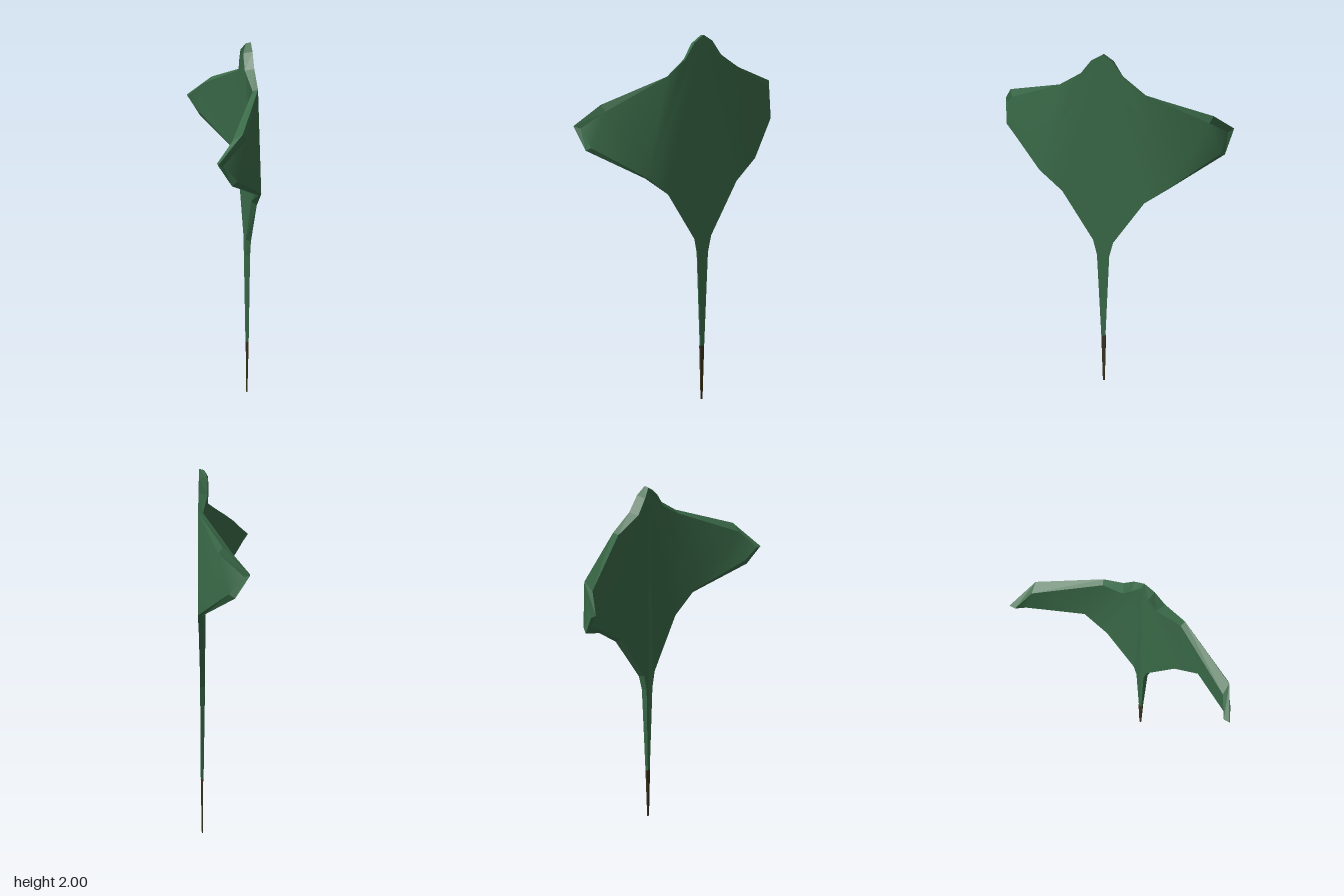
import * as THREE from 'three';

// Half outline from head to tail, each corner as [x, y, z]:
// outer skin, rim ridge, inner skin
const X = 0.125;
const corner = (y, z, inner) => ({ outer: [X, y, z], ridge: [X, y, z], inner });
const OUTLINE = [
  corner(2, 0, [0.1, 1.995, 0]),
  corner(1.965, 0.055, [0.08, 1.955, 0.043]),
  corner(1.89, 0.11, [0.08, 1.88, 0.09]),
  corner(1.815, 0.22, [0.1, 1.805, 0.21]),
  { outer: [0.02, 1.658, 0.515], ridge: [0.0, 1.69, 0.53], inner: [-0.05, 1.655, 0.525] },
  { outer: [-0.1, 1.56, 0.588], ridge: [-0.13, 1.57, 0.612], inner: [-0.13, 1.57, 0.58] },
  { outer: [-0.03, 1.472, 0.572], ridge: [-0.06, 1.455, 0.586], inner: [-0.07, 1.485, 0.56] },
  { outer: [X, 1.315, 0.342], ridge: [0.11, 1.31, 0.345], inner: [0.1, 1.325, 0.33] },
  corner(1.21, 0.22, [0.1, 1.225, 0.2]),
  corner(0.94, 0.055, [0.1, 0.945, 0.04]),
  corner(0.85, 0.034, [0.1, 0.85, 0.022]),
  corner(0.32, 0.012, [0.11, 0.32, 0.008]),
  corner(0.32, 0, [0.11, 0.32, 0]),
];
const BODY = [0, 1, 2, 3, 7, 8, 9, 10, 11, 12];
const WING = [[3, 4, 7], [4, 6, 7], [4, 5, 6]];

// Triangles of one half, wound to face +x
function halfFaces() {
  const flat = BODY.map((i) => new THREE.Vector2(-OUTLINE[i].ridge[2], OUTLINE[i].ridge[1]));
  const body = THREE.ShapeUtils.triangulateShape(flat, []).map(([a, b, c]) => {
    const ccw = THREE.ShapeUtils.area([flat[a], flat[b], flat[c]]) > 0;
    return (ccw ? [a, b, c] : [a, c, b]).map((k) => BODY[k]);
  });
  return [...body, ...WING];
}

function buildGeometry(points, triangles) {
  const g = new THREE.BufferGeometry();
  g.setAttribute('position', new THREE.Float32BufferAttribute(points.flat(), 3));
  g.setIndex(triangles.flat());
  return g;
}

// Points of both halves: the mirrored half follows the first
function mirrored(points) {
  return [...points, ...points.map(([x, y, z]) => [x, y, -z])];
}
function mirroredTriangles(tris, count) {
  return [...tris, ...tris.map(([a, b, c]) => [a + count, c + count, b + count])];
}

// Smooth skin on the outer or inner side
function skin(layer) {
  const points = OUTLINE.map((o) => o[layer]);
  let tris = halfFaces();
  if (layer === 'inner') tris = tris.map(([a, b, c]) => [a, c, b]);
  const g = buildGeometry(mirrored(points), mirroredTriangles(tris, points.length));
  g.computeVertexNormals();
  return g;
}

// Faceted bevel joining the two skins
function rim() {
  const n = OUTLINE.length;
  const points = ['outer', 'ridge', 'inner'].flatMap((k) => OUTLINE.map((o) => o[k]));
  const tris = [];
  for (let layer = 0; layer < 2; layer++) {
    for (let i = 0; i < n - 1; i++) {
      // plain corners have no outer bevel
      if (layer === 0 && (i < 3 || i > 7)) continue;
      const a = layer * n + i;
      tris.push([a, a + n, a + n + 1], [a, a + n + 1, a + 1]);
    }
  }
  const g = buildGeometry(mirrored(points), mirroredTriangles(tris, points.length)).toNonIndexed();
  g.computeVertexNormals();
  return g;
}

export function createModel() {
  const model = new THREE.Group();
  model.name = 'rayShapedLeaf';
  const green = new THREE.MeshStandardMaterial({ color: 0x3a6a48 });
  green.name = 'deep green';
  const brown = new THREE.MeshStandardMaterial({ color: 0x3a331c });
  brown.name = 'dark brown';

  const add = (name, geometry, material) => {
    const mesh = new THREE.Mesh(geometry, material);
    mesh.name = name;
    model.add(mesh);
    return mesh;
  };

  add('outerSkin', skin('outer'), green);
  add('innerSkin', skin('inner'), green);
  add('rim', rim(), green);

  // Tapered square tail tip
  const tip = new THREE.CylinderGeometry(0.012 * Math.SQRT2, 0.005 * Math.SQRT2, 0.32, 4)
    .rotateY(Math.PI / 4)
    .scale(0.55, 1, 1)
    .toNonIndexed();
  tip.computeVertexNormals();
  add('tailTip', tip, brown).position.set(0.1185, 0.16, 0);

  return model;
}
